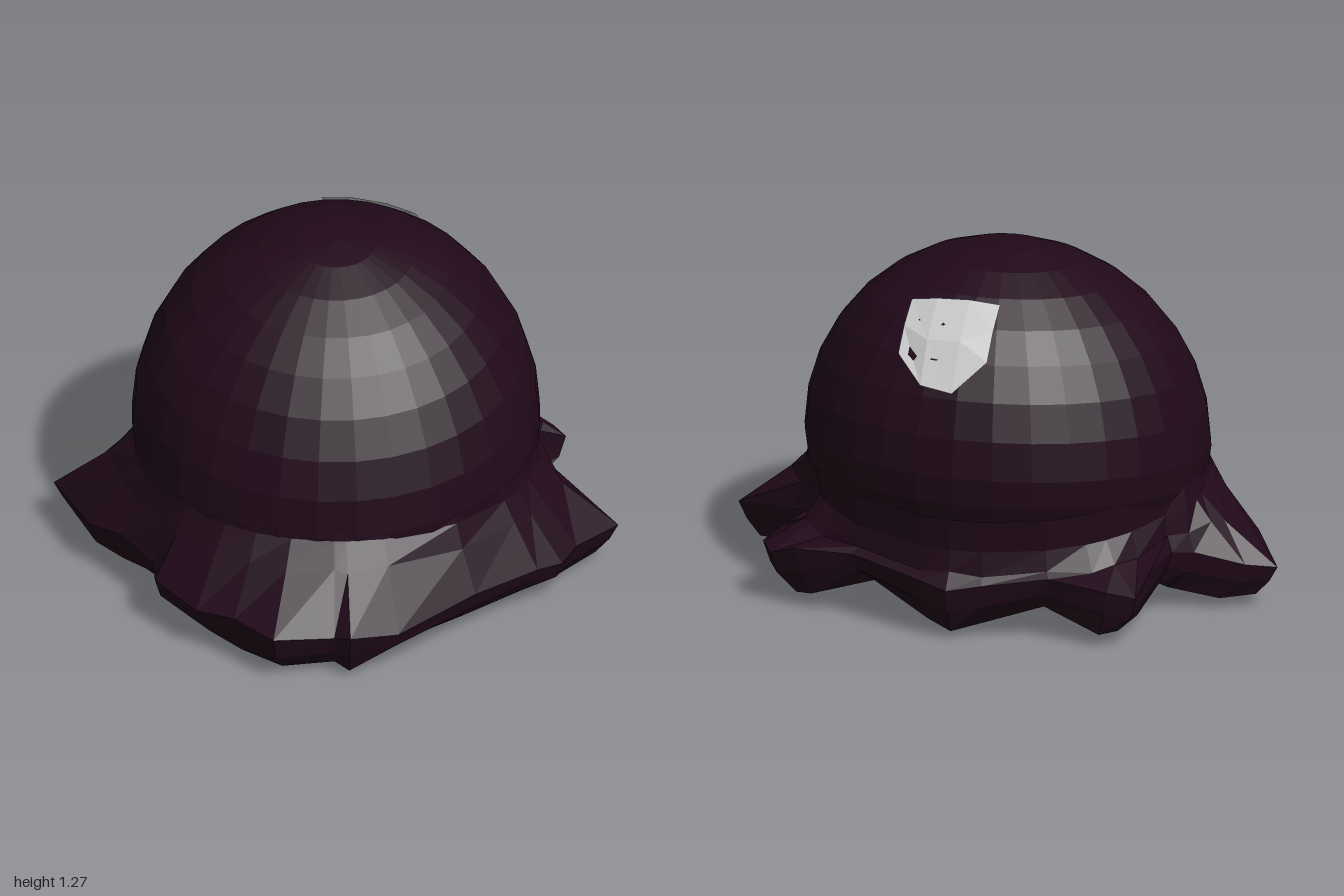
import * as THREE from 'three';

const CY = 0.54, CZ = -0.12, RX = 0.72, RZ = 0.68, UP = 0.73, DOWN = 0.53, TILT = 0.08;

// Egg-shaped dome: taller upper half, flatter lower half, tilted up towards the back
function domeGeometry() {
  const g = new THREE.SphereGeometry(1, 32, 16);
  const p = g.attributes.position;
  for (let i = 0; i < p.count; i++) {
    const y = p.getY(i), z = p.getZ(i);
    p.setXYZ(i, p.getX(i) * RX, CY + y * (y > 0 ? UP : DOWN) - TILT * z, CZ + z * RZ);
  }
  g.computeVertexNormals();
  return g;
}

// Height of the dome's upper surface at a point
function domeTop(x, z) {
  const u = x / RX, w = (z - CZ) / RZ;
  return CY + UP * Math.sqrt(Math.max(0, 1 - u * u - w * w)) - TILT * w;
}

function facets(pos, index) {
  const g = new THREE.BufferGeometry();
  g.setAttribute('position', new THREE.Float32BufferAttribute(pos, 3));
  g.setIndex(index);
  g.computeVertexNormals();
  return g;
}

// Ragged hem, from the front round by +x: x, z, rim height, lower edge height
const HEM = [
  [-0.13, 0.82, 0.19, 0.0], [0.08, 0.77, 0.18, 0.02], [0.14, 0.80, 0.2, 0.02],
  [0.3, 0.71, 0.17, 0.05], [0.55, 0.47, 0.2, 0.06], [0.75, 0.28, 0.19, 0.08],
  [0.83, 0.2, 0.17, 0.04], [0.87, 0.1, 0.18, 0.02], [1.0, -0.08, 0.16, 0.04],
  [0.75, -0.24, 0.22, 0.08], [0.68, -0.33, 0.25, 0.13], [0.69, -0.53, 0.28, 0.08],
  [0.77, -0.55, 0.21, 0.05], [0.72, -0.63, 0.2, 0.04], [0.62, -0.67, 0.24, 0.06],
  [0.4, -0.69, 0.25, 0.13], [0.13, -0.79, 0.22, 0.05], [0.02, -0.82, 0.2, 0.03],
  [-0.1, -0.79, 0.22, 0.05], [-0.33, -0.73, 0.25, 0.12], [-0.55, -0.75, 0.23, 0.05],
  [-0.64, -0.7, 0.2, 0.04], [-0.66, -0.55, 0.27, 0.06], [-0.67, -0.35, 0.25, 0.12],
  [-0.73, -0.28, 0.23, 0.08], [-0.9, -0.22, 0.18, 0.04], [-1.0, -0.16, 0.16, 0.05],
  [-0.85, 0.12, 0.18, 0.02], [-0.72, 0.23, 0.21, 0.05], [-0.6, 0.36, 0.19, 0.08],
  [-0.58, 0.49, 0.2, 0.05], [-0.42, 0.64, 0.18, 0.04], [-0.28, 0.71, 0.2, 0.03],
];

// Skirt lofted through collar, seam, shoulder, rim, fold, lower edge and tucked-in underside
function skirtGeometry() {
  const pos = [], index = [], rings = 7, n = HEM.length;
  HEM.forEach(([x, z, yRim, yLow], i) => {
    const s = 1 / Math.hypot(x / RX, (z - CZ) / RZ);
    const ex = x * s, ez = (z - CZ) * s;
    const snug = ez < -0.2 ? 0.95 : 1;
    const sx = ex * snug, sz = CZ + ez * snug;
    const sy = 0.42 + sz * (sz > 0 ? 0.05 : 0.11);
    const from = (k, y) => pos.push(x * k, y, CZ + (z - CZ) * k);
    pos.push(ex * 0.975, sy + 0.12, CZ + ez * 0.975);
    pos.push(sx, sy, sz);
    pos.push(sx + (x - sx) * 0.3, sy - 0.09 + (i % 2 ? 0.015 : 0), sz + (z - sz) * 0.3);
    from(1, yRim);
    from(0.97, yRim * 0.5 + yLow * 0.5);
    from(0.89 + 0.03 * (i % 3 - 1), yLow);
    pos.push(ex * 0.75, 0.25, CZ + ez * 0.75);
    const a = i * rings, b = ((i + 1) % n) * rings;
    for (let j = 0; j < rings - 1; j++) {
      index.push(a + j, a + j + 1, b + j, b + j, a + j + 1, b + j + 1);
    }
  });
  return facets(pos, index);
}

// Pale faceted patch laid on the back of the dome
function patchGeometry() {
  const rows = [
    [[-0.09, -0.515], [0.02, -0.515], [0.14, -0.505], [0.24, -0.485]],
    [[-0.09, -0.6], [0.02, -0.64], [0.14, -0.63], [0.243, -0.57]],
    [[-0.09, -0.675], [0.02, -0.74], [0.14, -0.72], [0.243, -0.64]],
  ];
  const pos = [], index = [];
  rows.flat().forEach(([x, z]) => {
    // lift slightly off the dome
    pos.push(x * 1.01, CY + (domeTop(x, z) - CY) * 1.01, CZ + (z - CZ) * 1.01);
  });
  for (let r = 0; r < 2; r++) for (let c = 0; c < 3; c++) {
    const a = r * 4 + c;
    index.push(a, a + 1, a + 4, a + 1, a + 5, a + 4);
  }
  return facets(pos, index);
}

export function createModel() {
  const group = new THREE.Group();
  const add = (name, geometry, color) => {
    const material = new THREE.MeshStandardMaterial({ color, flatShading: true, side: THREE.DoubleSide });
    const mesh = new THREE.Mesh(geometry, material);
    mesh.name = name;
    group.add(mesh);
  };
  add('dome', domeGeometry(), 0x21091a);
  add('raggedSkirt', skirtGeometry(), 0x21091a);
  add('backPatch', patchGeometry(), 0xcccccc);
  return group;
}
